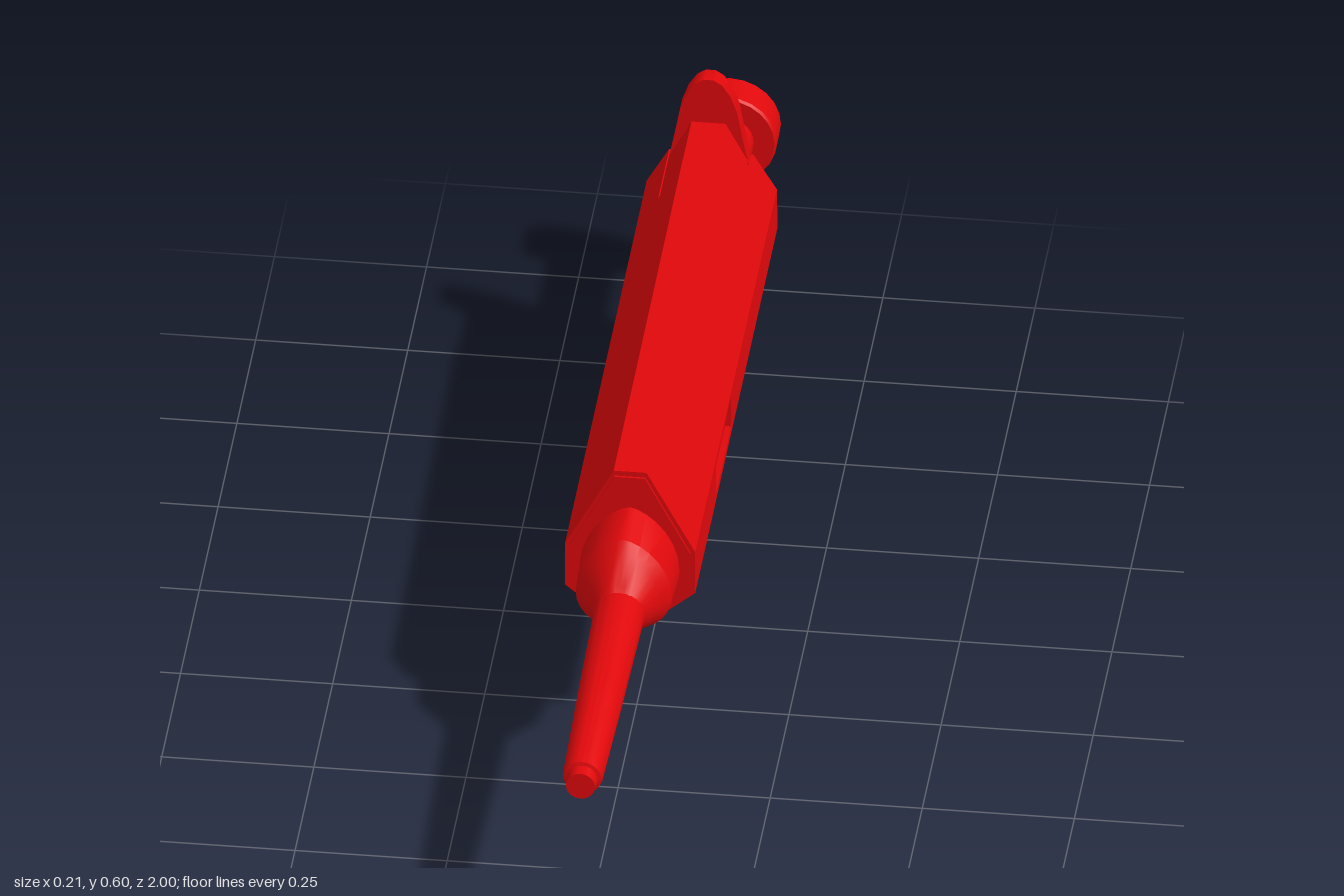
import * as THREE from 'three';
import { toCreasedNormals } from 'three/addons/utils/BufferGeometryUtils.js';

const red = new THREE.MeshStandardMaterial({ color: 0xe0080b });
const AXIS_Y = 0.331;

function add(group, name, geometry, crease = 0.5) {
  const mesh = new THREE.Mesh(toCreasedNormals(geometry, crease), red);
  mesh.name = name;
  group.add(mesh);
}

// Skin over rings of points, front to back; rings run anticlockwise as seen from the front.
function loft(rings, skipSide = -1) {
  const pos = [], n = rings[0].length;
  const tri = (...p) => p.forEach((q) => pos.push(...q));
  const centre = (ring) => [0, 1, 2].map((k) => ring.reduce((s, p) => s + p[k], 0) / n);
  for (let i = 0; i < rings.length - 1; i++) {
    for (let j = 0; j < n; j++) {
      if (j === skipSide) continue;
      const k = (j + 1) % n, a = rings[i], b = rings[i + 1];
      tri(a[j], b[j], a[k]);
      tri(a[k], b[j], b[k]);
    }
  }
  const first = rings[0], last = rings[rings.length - 1];
  const c0 = centre(first), c1 = centre(last);
  for (let j = 0; j < n; j++) {
    const k = (j + 1) % n;
    tri(c0, first[j], first[k]);
    tri(c1, last[k], last[j]);
  }
  const g = new THREE.BufferGeometry();
  g.setAttribute('position', new THREE.Float32BufferAttribute(pos, 3));
  return g;
}

// Mirrors one half of an outline (bottom to top) into a full ring.
const mirrored = (half) => [...half, ...half.slice().reverse().map(([x, y]) => [-x, y])];

// Body outline: narrow top, straight flanks, rounded belly.
const bodyOutline = (bottom, topX, topY) => mirrored([
  [0.025, bottom], [0.06, bottom + 0.013], [0.107, 0.287], [0.107, 0.367], [topX, topY],
]);
const at = (outline, z) => outline.map(([x, y]) => [x, y, z]);
const inset = (outline, sx, sy) => outline.map(([x, y]) => [x * sx, AXIS_Y + (y - AXIS_Y) * sy]);
// The back end leans: lower points lie further back.
const rearZ = (y) => -0.74 - (0.44 - y) * 0.11;

// Turned part along the z axis, profile given as [radius, z] from back to front.
function turned(profile) {
  const g = new THREE.LatheGeometry(profile.map(([r, z]) => new THREE.Vector2(r, z)), 24);
  return g.rotateX(Math.PI / 2).translate(0, AXIS_Y, 0);
}

function rect(target, x0, y0, x1, y1) {
  target.moveTo(x0, y0);
  target.lineTo(x1, y0);
  target.lineTo(x1, y1);
  target.lineTo(x0, y1);
  return target.closePath();
}

export function createModel() {
  const model = new THREE.Group();
  model.name = 'pipette';

  // Main handle, open on the left flank where the window panel sits
  const front = bodyOutline(0.235, 0.027, 0.515);
  add(model, 'handle', loft([
    at(front, 0.34),
    at(bodyOutline(0.219, 0.027, 0.524), -0.58),
  ], 2), 0.35);

  // Front plate, slightly inset from the handle
  const plateOutline = inset(front, 0.93, 0.95);
  add(model, 'frontPlate', loft([at(plateOutline, 0.344), at(plateOutline, 0.335)]), 0.35);

  // Lower rear of the handle, below the button notch
  const rear = bodyOutline(0.217, 0.069, 0.437);
  add(model, 'handleRear', loft([
    at(bodyOutline(0.219, 0.069, 0.437), -0.58),
    rear.map(([x, y]) => [x, y, rearZ(y)]),
  ]), 0.35);

  // Left flank with the recessed window
  const flank = rect(new THREE.Shape(), -0.34, 0.287, 0.58, 0.367);
  flank.holes.push(rect(new THREE.Path(), -0.06, 0.3, 0.14, 0.36));
  const flankGeo = new THREE.ExtrudeGeometry(flank, { depth: 0.012, bevelEnabled: false });
  add(model, 'windowPanel', flankGeo.rotateY(Math.PI / 2).translate(0.095, 0, 0));
  add(model, 'windowFloor', new THREE.BoxGeometry(0.006, 0.07, 0.21).translate(0.094, 0.33, -0.04));

  // Rear lid, slightly inset from the handle
  const lid = inset(rear, 0.9, 0.92);
  add(model, 'rearLid', loft([0.004, -0.007].map((d) => lid.map(([x, y]) => [x, y, rearZ(y) + d]))), 0.35);

  // Front collar: peaked egg sections widening from the round nozzle to the handle
  const collar = [
    // z, half width, bottom, top, peak sharpness
    [0.485, 0.04, 0.291, 0.372, 1],
    [0.475, 0.043, 0.287, 0.38, 1],
    [0.445, 0.064, 0.273, 0.42, 1.15],
    [0.425, 0.079, 0.264, 0.437, 1.3],
    [0.335, 0.082, 0.25, 0.45, 1.35],
  ].map(([z, w, bottom, top, peak]) => {
    const ring = [], n = 28;
    for (let i = 0; i < n; i++) {
      const a = (i / n) * Math.PI * 2, s = Math.sin(a), c = Math.cos(a);
      const h = s > 0 ? top - AXIS_Y : AXIS_Y - bottom;
      ring.push([w * Math.sign(c) * Math.abs(c) ** (s > 0 ? peak : 0.9), AXIS_Y + h * s, z]);
    }
    return ring;
  });
  add(model, 'collar', loft(collar), 0.5);

  // Nozzle with stepped tip, and plunger with knob
  add(model, 'nozzle', turned([
    [0, 0.46], [0.042, 0.46], [0.038, 0.72], [0.033, 0.965], [0.031, 0.975], [0.025, 0.977], [0.024, 1], [0, 1],
  ]));
  add(model, 'plungerRod', turned([[0, -0.95], [0.046, -0.95], [0.046, -0.72], [0, -0.72]]));
  add(model, 'plungerKnob', turned([
    [0, -1], [0.08, -1], [0.083, -0.996], [0.083, -0.94], [0.08, -0.935], [0, -0.935],
  ]));

  // Ejector button: block in the notch and upright thumb plate
  const block = mirrored([[0.065, 0.447], [0.028, 0.517]]);
  add(model, 'ejectorBlock', loft([at(block, -0.582), at(block, -0.71)]));
  const thumb = mirrored([
    [0.066, 0.44], [0.056, 0.49], [0.047, 0.54], [0.036, 0.57], [0.022, 0.591], [0.008, 0.6],
  ]);
  add(model, 'ejectorThumbPlate', loft([at(thumb, -0.704), at(thumb, -0.735)]), 0.6);

  // Finger hook curling forward at its foot: front y, back y, front z, back z, half width
  const hook = [
    [0.26, 0.26, -0.69, -0.765, 0.066],
    [0.215, 0.215, -0.7, -0.768, 0.062],
    [0.175, 0.165, -0.72, -0.775, 0.057],
    [0.125, 0.115, -0.735, -0.781, 0.053],
    [0.085, 0.075, -0.742, -0.779, 0.049],
    [0.052, 0.04, -0.738, -0.767, 0.045],
    [0.028, 0.016, -0.724, -0.744, 0.039],
    [0.012, 0.003, -0.69, -0.697, 0.022],
  ].map(([yf, yb, f, b, w]) => {
    // Flat front face, rounded back
    const half = [[0.5, 0], [0.96, 0.04], [1, 0.4], [0.85, 0.8], [0.5, 1]];
    const side = half.map(([u, t]) => [w * u, yf + (yb - yf) * t, f + (b - f) * t]);
    return [...side, ...side.slice().reverse().map(([x, y, z]) => [-x, y, z])];
  });
  add(model, 'fingerHook', loft(hook), 0.75);

  return model;
}
